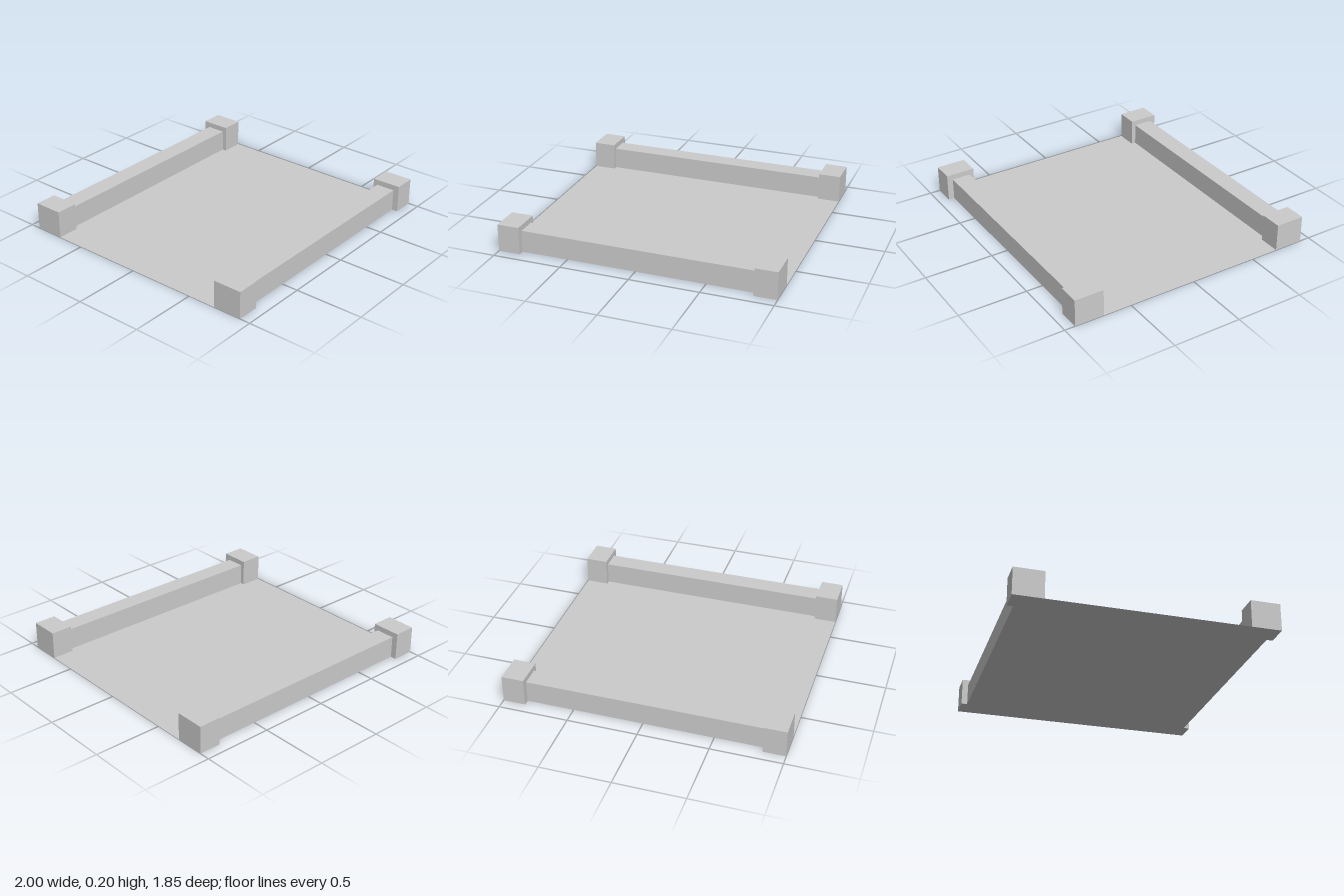
import * as THREE from 'three';

export function createModel() {
  const group = new THREE.Group();
  const material = new THREE.MeshStandardMaterial({ color: 0xcccccc, flatShading: true });

  // Box standing on the ground
  const addBlock = (name, width, height, depth, x, z) => {
    const mesh = new THREE.Mesh(new THREE.BoxGeometry(width, height, depth), material);
    mesh.name = name;
    mesh.position.set(x, height / 2, z);
    group.add(mesh);
  };

  // Thin floor sheet between the rails
  const floorMaterial = material.clone();
  floorMaterial.side = THREE.DoubleSide;
  const floor = new THREE.Mesh(new THREE.PlaneGeometry(2, 1.62).rotateX(-Math.PI / 2), floorMaterial);
  floor.name = 'floor';
  group.add(floor);

  // Front and back rails, each ending in two corner posts
  for (const [end, sz] of [['front', 1], ['back', -1]]) {
    addBlock(`${end}Rail`, 1.7, 0.16, 0.14, 0, sz * 0.81);
    for (const [side, sx] of [['Left', 1], ['Right', -1]]) {
      addBlock(`${end}${side}Post`, 0.16, 0.2, 0.215, sx * 0.92, sz * 0.816);
    }
  }

  return group;
}
